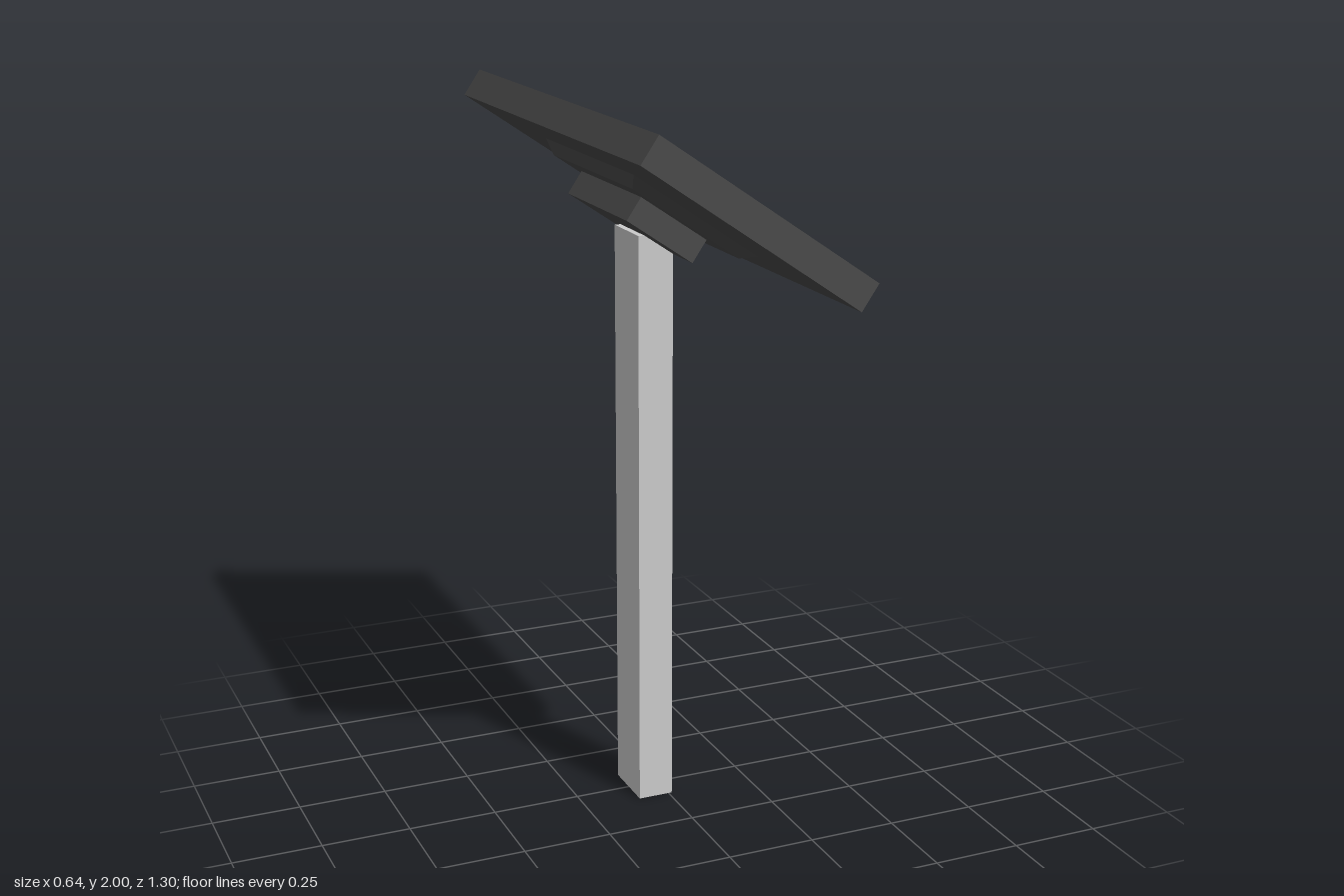
import * as THREE from 'three';

const TILT = -0.5986;

function mat(color) {
  return new THREE.MeshStandardMaterial({ color });
}

function add(parent, name, geometry, material, x = 0, y = 0, z = 0) {
  const mesh = new THREE.Mesh(geometry, material);
  mesh.name = name;
  mesh.position.set(x, y, z);
  parent.add(mesh);
  return mesh;
}

// Flat rectangular ring lying in the xz plane, base at y = 0
function ring(outerX, outerZ, innerX, innerZ, height) {
  const rect = (p, a, b) => p.moveTo(-a, -b).lineTo(a, -b).lineTo(a, b).lineTo(-a, b).closePath();
  const shape = rect(new THREE.Shape(), outerX, outerZ);
  shape.holes.push(rect(new THREE.Path(), innerX, innerZ));
  return new THREE.ExtrudeGeometry(shape, { depth: height, bevelEnabled: false }).rotateX(-Math.PI / 2);
}

// Box whose underside is narrowed on all four sides
function taperedBox(w, h, d, inset) {
  const geo = new THREE.BoxGeometry(w, h, d);
  const pos = geo.attributes.position;
  for (let i = 0; i < pos.count; i++) {
    if (pos.getY(i) > 0) continue;
    pos.setX(i, pos.getX(i) - Math.sign(pos.getX(i)) * inset);
    pos.setZ(i, pos.getZ(i) - Math.sign(pos.getZ(i)) * inset);
  }
  geo.computeVertexNormals();
  return geo;
}

export function createModel() {
  const model = new THREE.Group();
  model.name = 'displayStand';
  const grey = mat(0xcccccc);
  const dark = mat(0x484848);
  const black = mat(0x0e0e0e);

  // Square-cut post, its top hidden in the mount
  add(model, 'post', new THREE.BoxGeometry(0.1, 1.64, 0.166), grey, -0.04, 0.82, 0);

  // Tilted head: local x runs down the slope, local y is the screen normal
  const head = new THREE.Group();
  head.name = 'head';
  head.position.y = 1.7625;
  head.rotation.z = TILT;
  model.add(head);

  // Housing with a shallow stepped bezel around the screen
  add(head, 'housing', new THREE.BoxGeometry(0.72, 0.068, 1.3), dark, 0, -0.008, 0);
  add(head, 'outerBezel', ring(0.36, 0.65, 0.346, 0.62, 0.016), dark, 0, 0.026, 0);
  add(head, 'innerBezel', ring(0.346, 0.62, 0.335, 0.605, 0.013), dark, 0, 0.026, 0);
  add(head, 'screen', new THREE.BoxGeometry(0.67, 0.01, 1.21), black, 0, 0.031, 0);
  add(head, 'indicator', new THREE.BoxGeometry(0.008, 0.002, 0.028), grey, 0.353, 0.0425, -0.631);

  // Rear cover and mounting block
  add(head, 'rearCover', taperedBox(0.426, 0.03, 0.63, 0.033), dark, 0, -0.056, 0);
  add(head, 'mountBlock', new THREE.BoxGeometry(0.224, 0.074, 0.42), dark, -0.003, -0.105, 0);

  return model;
}
